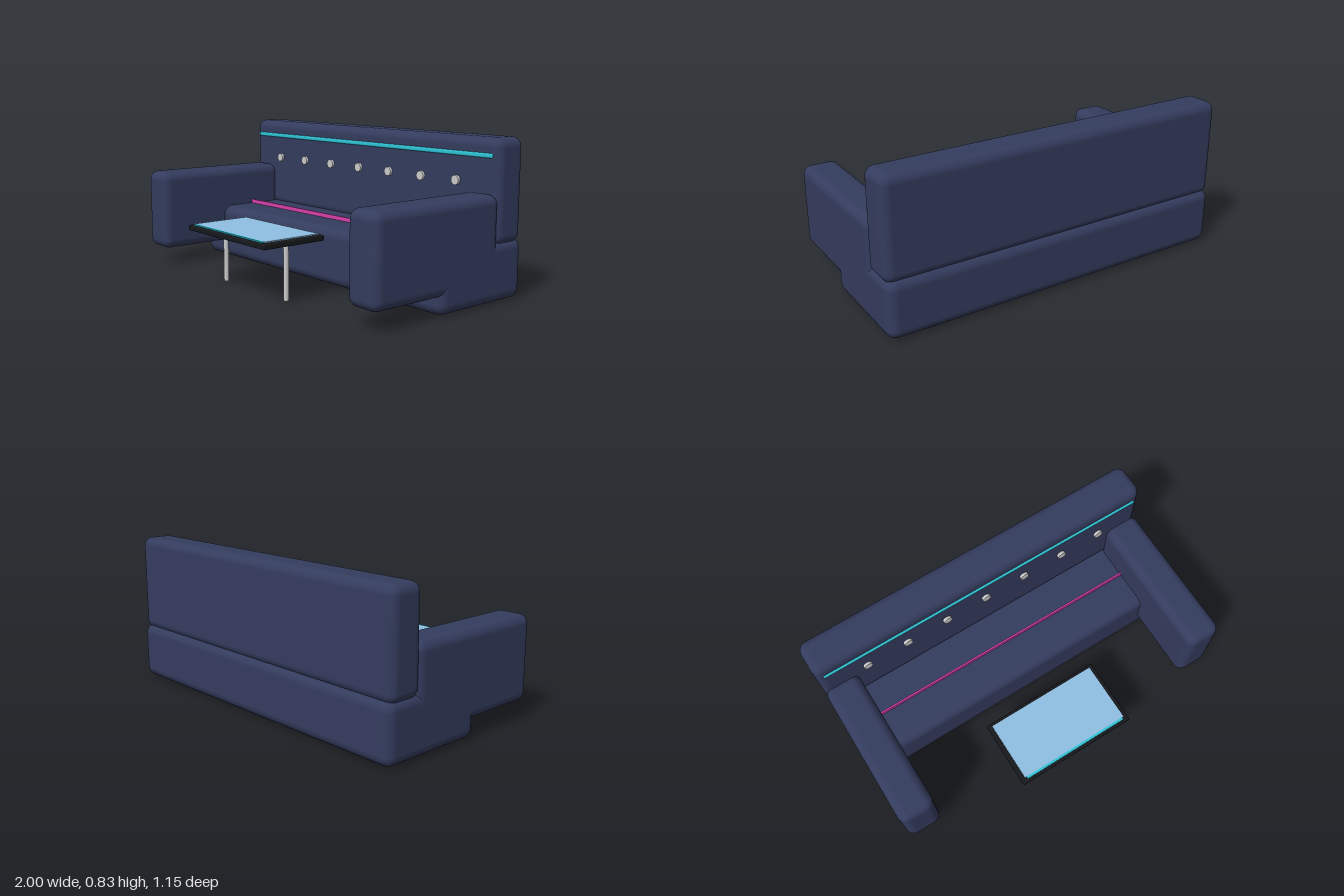
import * as THREE from 'three';
import { RoundedBoxGeometry } from 'three/addons/geometries/RoundedBoxGeometry.js';

const mat = (color) => new THREE.MeshStandardMaterial({ color });

export function createModel() {
  const model = new THREE.Group();
  const navy = mat(0x343c5e), teal = mat(0x2fc4d6), pink = mat(0xd93fae);
  const black = mat(0x16181c), glass = mat(0x8fbfe3), grey = mat(0xcccccc);

  // Add a mesh to a parent
  const add = (name, geometry, material, parent = model) => {
    const mesh = new THREE.Mesh(geometry, material);
    mesh.name = name;
    parent.add(mesh);
    return mesh;
  };
  // Box given by its [min, max] on each axis, rounded when a radius is given
  const block = (name, [x0, x1], [y0, y1], [z0, z1], material, radius = 0, parent = model) => {
    const size = [x1 - x0, y1 - y0, z1 - z0];
    const geometry = radius ? new RoundedBoxGeometry(...size, 5, radius) : new THREE.BoxGeometry(...size);
    const mesh = add(name, geometry, material, parent);
    mesh.position.set((x0 + x1) / 2, (y0 + y1) / 2, (z0 + z1) / 2);
    return mesh;
  };

  // Sofa body
  block('seatBase', [-1, 1], [0.005, 0.32], [-0.575, 0.038], navy, 0.055);
  block('backrest', [-1, 1], [0.295, 0.832], [-0.56, -0.36], navy, 0.05);
  block('leftArm', [0.8, 1], [0.098, 0.555], [-0.385, 0.46], navy, 0.05);
  block('rightArm', [-1, -0.8], [0.098, 0.555], [-0.385, 0.46], navy, 0.05);

  // Trim strips
  block('backrestStrip', [-0.96, 0.96], [0.731, 0.755], [-0.376, -0.352], teal, 0.008);
  block('seatStrip', [-0.81, 0.81], [0.31, 0.343], [-0.18, -0.17], pink);

  // Row of backrest buttons
  const buttonGeometry = new THREE.CylinderGeometry(0.025, 0.025, 0.03, 16).rotateX(Math.PI / 2);
  for (let i = -3; i <= 3; i++) {
    add('backrestButton', buttonGeometry, grey).position.set(i * 0.244, 0.604, -0.36);
  }

  // Low table in front of the seat
  const table = new THREE.Group();
  table.name = 'table';
  model.add(table);
  block('tableTop', [-0.345, 0.345], [0.297, 0.327], [0.195, 0.577], black, 0.008, table);
  block('tableGlass', [-0.32, 0.32], [0.32, 0.333], [0.213, 0.55], glass, 0, table);
  block('tableStrip', [-0.31, 0.31], [0.316, 0.333], [0.55, 0.563], teal, 0, table);
  const legGeometry = new THREE.CylinderGeometry(0.014, 0.014, 0.3, 16);
  for (const side of [-1, 1]) {
    add('tableLeg', legGeometry, grey, table).position.set(side * 0.27, 0.15, 0.385);
  }
  return model;
}
